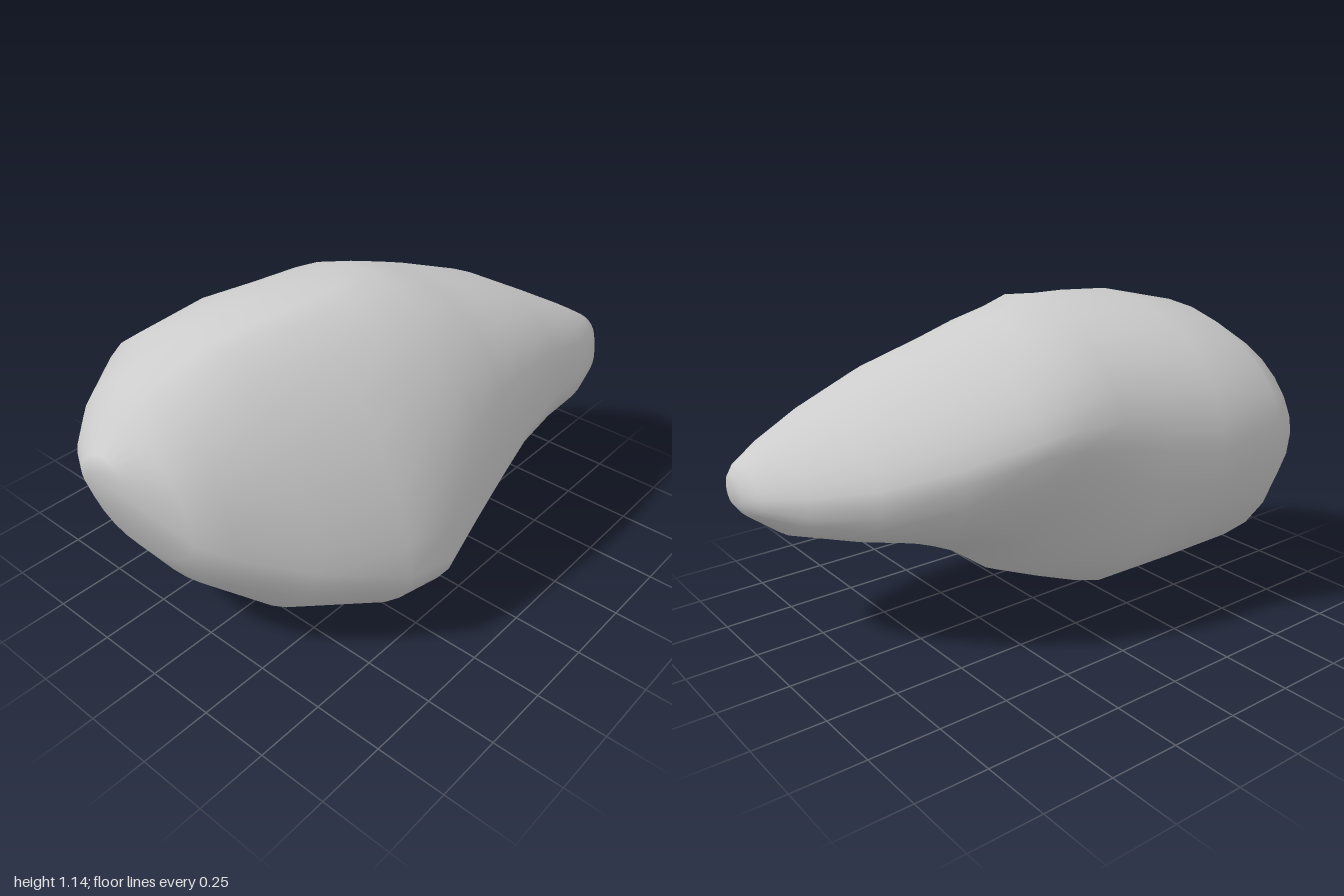
import * as THREE from 'three';
import { mergeVertices } from 'three/addons/utils/BufferGeometryUtils.js';

// Cross-sections along x: x, then (z, y) of the front, top, back and bottom extremes
const SECTIONS = [
  [-1.00, -0.19, 0.73, -0.19, 0.73, -0.19, 0.73, -0.19, 0.73],
  [-0.96, -0.08, 0.66, -0.17, 0.77, -0.30, 0.66, -0.17, 0.58],
  [-0.89, 0.13, 0.55, -0.16, 0.85, -0.42, 0.63, -0.15, 0.40],
  [-0.80, 0.22, 0.48, -0.13, 0.95, -0.51, 0.63, -0.10, 0.26],
  [-0.62, 0.38, 0.40, -0.04, 1.07, -0.615, 0.65, 0.02, 0.11],
  [-0.38, 0.575, 0.34, 0.06, 1.125, -0.56, 0.66, 0.10, 0.05],
  [-0.20, 0.605, 0.32, 0.09, 1.135, -0.49, 0.68, 0.12, 0.00],
  [-0.03, 0.595, 0.42, 0.09, 1.14, -0.455, 0.71, 0.10, 0.06],
  [0.13, 0.58, 0.50, 0.07, 1.085, -0.44, 0.74, 0.12, 0.12],
  [0.28, 0.56, 0.56, 0.06, 1.03, -0.41, 0.73, 0.18, 0.23],
  [0.50, 0.535, 0.59, 0.12, 0.95, -0.31, 0.67, 0.26, 0.335],
  [0.71, 0.52, 0.59, 0.21, 0.83, -0.15, 0.61, 0.33, 0.38],
  [0.87, 0.47, 0.57, 0.28, 0.735, 0.03, 0.58, 0.35, 0.41],
  [0.97, 0.41, 0.57, 0.31, 0.67, 0.17, 0.57, 0.33, 0.49],
  [1.00, 0.37, 0.58, 0.31, 0.64, 0.24, 0.58, 0.32, 0.53],
  [1.00, 0.31, 0.585, 0.31, 0.585, 0.31, 0.585, 0.31, 0.585],
];
const SIDES = 28;

const bump = (x, centre, width) => Math.exp(-(((x - centre) / width) ** 2));

// Roundness of each quarter: below 1 is fuller than an ellipse, above 1 leaner
function roundness(x, front, upper) {
  if (upper && front) return 0.85 + 0.42 * bump(x, -0.45, 0.42);
  if (upper) return 1.18 - 0.25 * bump(x, -0.3, 0.4);
  if (front) return 1.02 + 0.38 * bump(x, 0.1, 0.35);
  return 0.97 + 0.35 * bump(x, 0.1, 0.2) - 0.1 * bump(x, 0.65, 0.2);
}

// Four quarter curves join the extremes; the underside is hollowed beneath the neck
function sectionPoint([x, zf, yf, zt, yt, zb, yb, zd, yd], angle) {
  const c = Math.cos(angle), s = Math.sin(angle);
  const [sideZ, sideY] = c >= 0 ? [zf, yf] : [zb, yb];
  const [endZ, endY] = s >= 0 ? [zt, yt] : [zd, yd];
  const e = roundness(x, c >= 0, s >= 0);
  const u = Math.abs(c) ** e, v = Math.abs(s) ** e;
  return [x, sideY + (endY - sideY) * v, endZ + (sideZ - endZ) * u];
}

// Skin over the sections, closed to a point at both ends
function loft(sections) {
  const positions = [], index = [];
  const last = sections.length - 1;
  sections.forEach((section, i) => {
    for (let j = 0; j < SIDES; j++) {
      positions.push(...sectionPoint(section, (j / SIDES) * Math.PI * 2));
      if (i === last) continue;
      const a = i * SIDES + j, b = a + SIDES;
      const c = i * SIDES + ((j + 1) % SIDES), d = c + SIDES;
      if (i < last - 1) index.push(a, b, d);
      if (i > 0) index.push(a, d, c);
    }
  });
  const geometry = new THREE.BufferGeometry();
  geometry.setAttribute('position', new THREE.Float32BufferAttribute(positions, 3));
  geometry.setIndex(index);
  const merged = mergeVertices(geometry, 1e-5);
  merged.computeVertexNormals();
  return merged;
}

export function createModel() {
  const group = new THREE.Group();
  group.name = 'rock';
  const stone = new THREE.Mesh(loft(SECTIONS), new THREE.MeshStandardMaterial({ color: 0xcccccc }));
  stone.name = 'stone';
  group.add(stone);
  return group;
}
